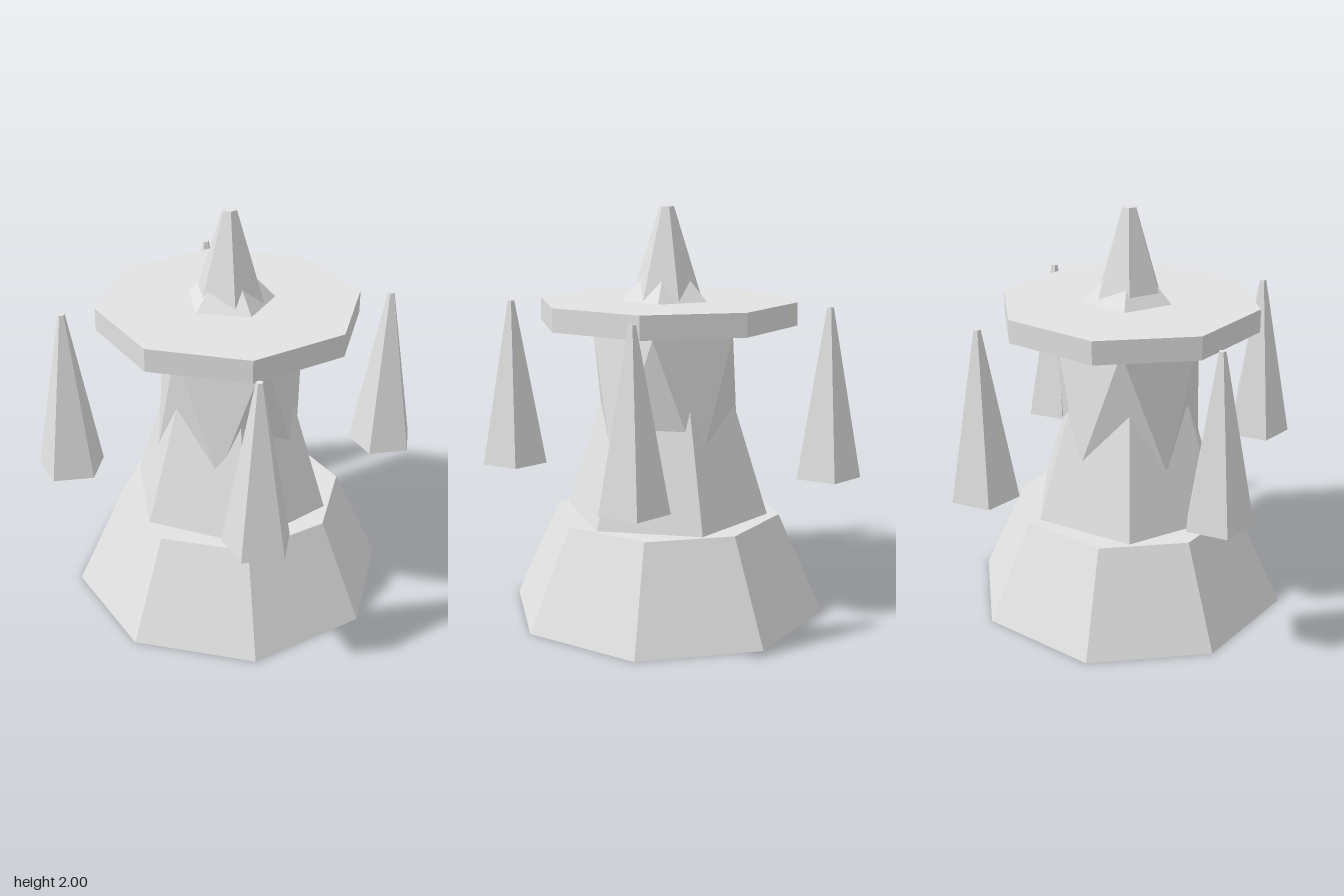
import * as THREE from 'three';
import { ConvexGeometry } from 'three/addons/geometries/ConvexGeometry.js';

export function createModel() {
  const model = new THREE.Group();
  const body = new THREE.Group();
  body.position.z = 0.016;
  model.add(body);

  const paleGrey = new THREE.MeshStandardMaterial({ color: 0xe2e2e2, flatShading: true });
  paleGrey.name = 'paleGrey';

  const add = (name, geometry, x = 0, y = 0, z = 0) => {
    const mesh = new THREE.Mesh(geometry, paleGrey);
    mesh.name = name;
    mesh.position.set(x, y, z);
    body.add(mesh);
  };

  // Faceted frustum standing between two heights
  const frustum = (name, sides, rBottom, rTop, y0, y1, x = 0, z = 0, turn = 0) =>
    add(name, new THREE.CylinderGeometry(rTop, rBottom, y1 - y0, sides, 1, false, turn),
      x, (y0 + y1) / 2, z);

  frustum('base', 8, 0.79, 0.565, 0, 0.492);
  frustum('spire', 6, 0.507, 0.036, 0.492, 2);
  frustum('disc', 8, 0.638, 0.638, 1.438, 1.55);

  // Stretched icosahedron: two points and two staggered five-sided rings
  const half = 0.7, radius = 0.36;
  const points = [new THREE.Vector3(0, half, 0), new THREE.Vector3(0, -half, 0)];
  for (let i = 0; i < 5; i++) {
    const a = (i * Math.PI * 2) / 5;
    for (const s of [1, -1]) {
      points.push(new THREE.Vector3(s * radius * Math.cos(a), s * half * 0.4472, radius * Math.sin(a)));
    }
  }
  add('crystalCore', new ConvexGeometry(points), 0, 1.087, 0);

  // Four floating spikes around the tower, all turned the same way
  const reach = 0.793;
  for (const [name, x, z] of [['front', 0, 1], ['back', 0, -1], ['left', 1, 0], ['right', -1, 0]]) {
    frustum(name + 'Spike', 5, 0.167, 0.017, 0.702, 1.53, x * reach, z * reach, Math.PI);
  }

  return model;
}
